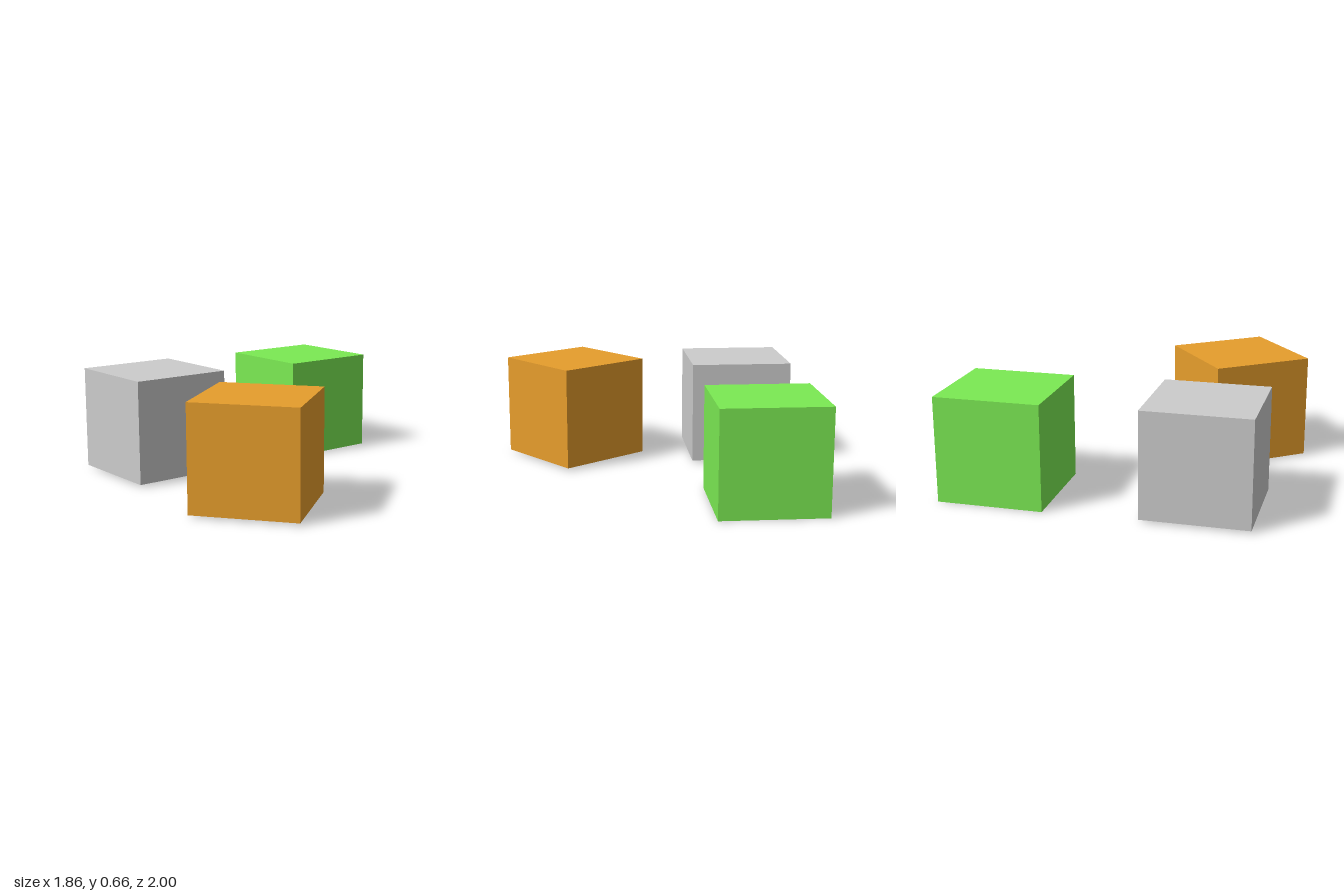
import * as THREE from 'three';

const SIZE = 0.646;

export function createModel() {
  const model = new THREE.Group();
  const geometry = new THREE.BoxGeometry(SIZE, SIZE, SIZE);

  // Adds one cube, with its underside at the given height
  function addCube(name, color, x, bottom, z, turn = 0) {
    const material = new THREE.MeshStandardMaterial({ color });
    const cube = new THREE.Mesh(geometry, material);
    cube.name = name;
    cube.position.set(x, bottom + SIZE / 2, z);
    cube.rotation.y = turn;
    model.add(cube);
  }

  // Two aligned cubes on the right, one turned cube on the left
  addCube('greyCube', 0xcccccc, -0.61, 0.014, 0.544);
  addCube('greenCube', 0x7bea53, -0.61, 0, -0.677);
  addCube('orangeCube', 0xe69d2c, 0.479, 0.014, 0.547, 0.65);

  return model;
}
